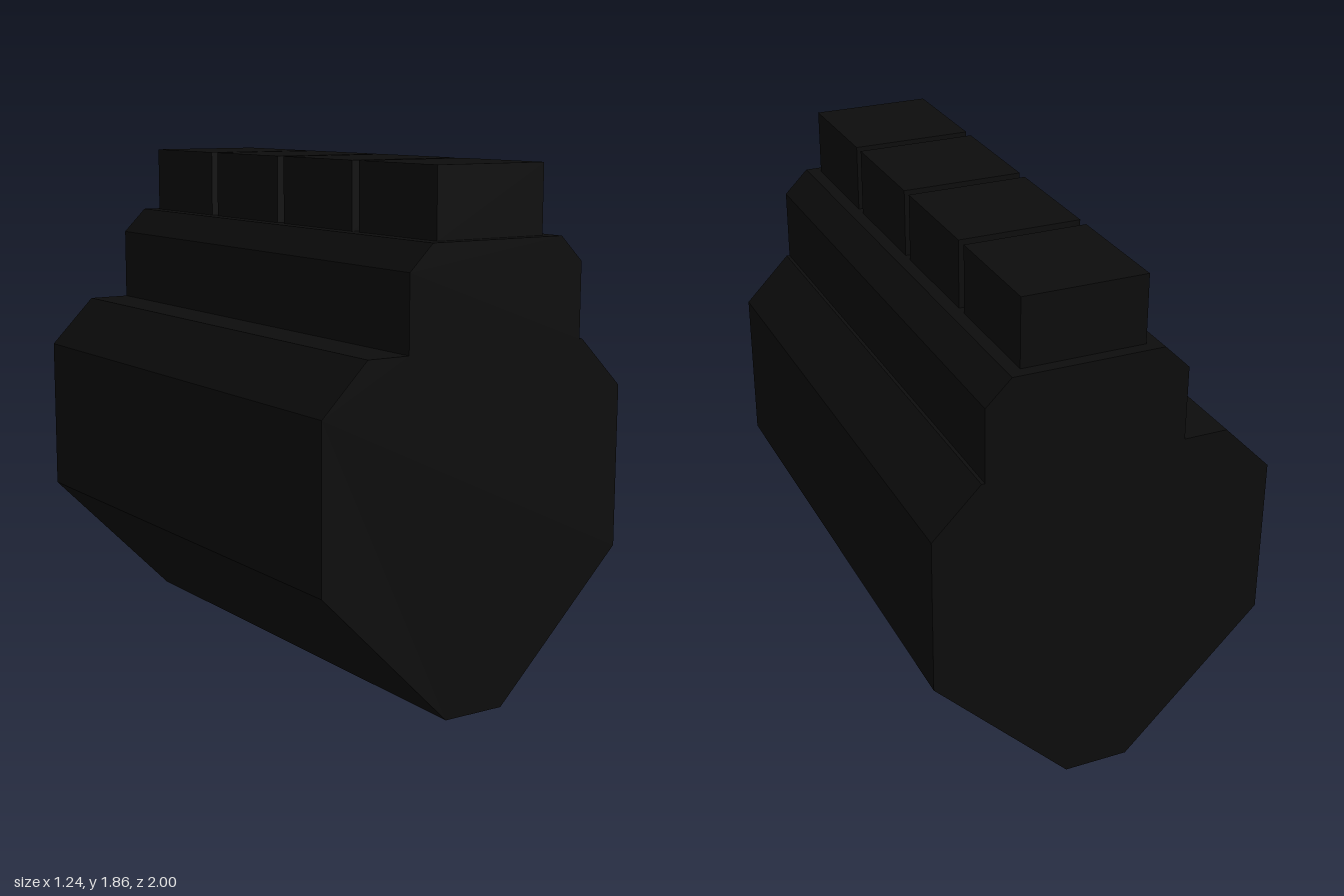
import * as THREE from 'three';

export function createModel() {
  const group = new THREE.Group();
  const black = new THREE.MeshStandardMaterial({ color: 0x0d0d0d });
  black.name = 'black';

  const add = (name, geometry, x, y, z) => {
    const mesh = new THREE.Mesh(geometry, black);
    mesh.name = name;
    mesh.position.set(x, y, z);
    group.add(mesh);
  };

  // Constant cross-section running the full length along z
  const length = 2;
  const prism = (points) => new THREE.ExtrudeGeometry(
    new THREE.Shape(points.map(([x, y]) => new THREE.Vector2(x, y))),
    { depth: length, bevelEnabled: false }
  );

  // Stepped body: tapered lower housing with a narrower, offset upper deck
  add('body', prism([
    [-0.118, 0], [0.118, 0], [0.62, 0.505], [0.62, 1.084], [0.446, 1.26],
    [0.434, 1.26], [0.434, 1.527], [0.343, 1.617], [-0.195, 1.617],
    [-0.286, 1.527], [-0.286, 1.26], [-0.446, 1.26], [-0.62, 1.084], [-0.62, 0.505],
  ]), 0, 0, -length / 2);

  // Row of four evenly spaced blocks on the deck
  const bottom = 1.617, top = 1.862;
  for (let i = 0; i < 4; i++) {
    add(`topBlock${i + 1}`, new THREE.BoxGeometry(0.444, top - bottom, 0.445),
      0.074, (top + bottom) / 2, 0.733 - i * 0.4887);
  }
  return group;
}
